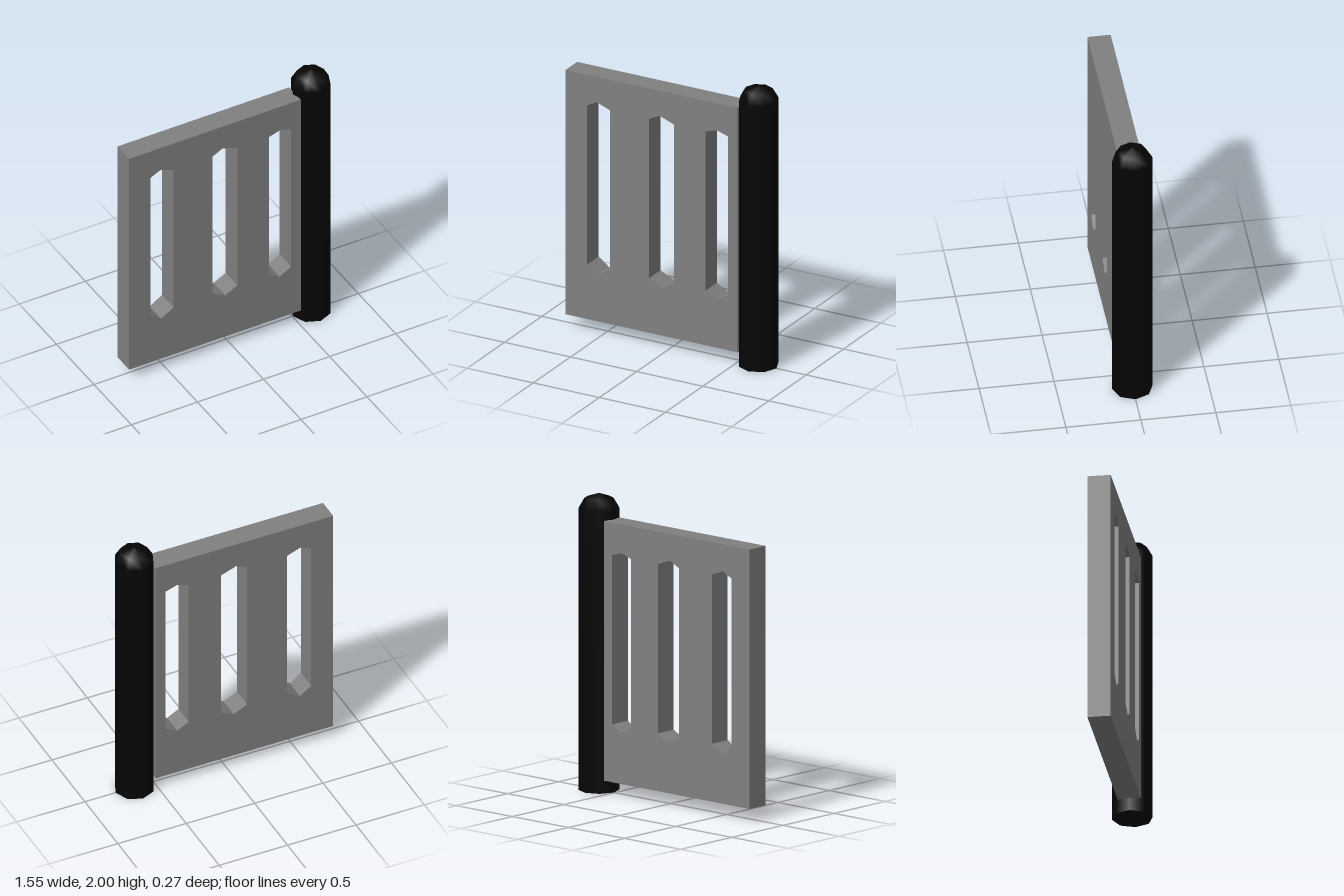
import * as THREE from 'three';

const POST_X = 0.64, POST_R = 0.135;

export function createModel() {
  const group = new THREE.Group();
  const grey = new THREE.MeshStandardMaterial({ color: 0x808080 });
  grey.name = 'grey panel';
  const black = new THREE.MeshStandardMaterial({ color: 0x050505 });
  black.name = 'black post';

  const add = (name, geometry, material, x, y, z) => {
    const mesh = new THREE.Mesh(geometry, material);
    mesh.name = name;
    mesh.position.set(x, y, z);
    group.add(mesh);
    return mesh;
  };

  // Panel with three upright slots, each pointed at both ends
  const panel = new THREE.Shape();
  panel.moveTo(-0.777, 0.09);
  panel.lineTo(0.522, 0.09);
  panel.lineTo(0.522, 1.84);
  panel.lineTo(-0.777, 1.84);
  panel.closePath();

  const slots = [
    { left: -0.615, right: -0.44, top: [-0.54, 1.657], bottom: [-0.535, 0.42] },
    { left: -0.147, right: 0.042, top: [-0.068, 1.66], bottom: [-0.05, 0.432] },
    { left: 0.28, right: 0.45, top: [0.367, 1.647], bottom: [0.362, 0.432] },
  ];
  for (const { left, right, top, bottom } of slots) {
    const hole = new THREE.Path();
    hole.moveTo(left, 0.48);
    hole.lineTo(left, 1.62);
    hole.lineTo(...top);
    hole.lineTo(right, 1.62);
    hole.lineTo(right, 0.48);
    hole.lineTo(...bottom);
    hole.closePath();
    panel.holes.push(hole);
  }
  add('slottedPanel',
    new THREE.ExtrudeGeometry(panel, { depth: 0.155, bevelEnabled: false }),
    grey, 0, 0, -0.08);

  // Eight-sided post with a domed top
  const profile = [[POST_R, 0], [POST_R, 1.9], [0.096, 1.968], [0, 2]]
    .map(([r, y]) => new THREE.Vector2(r, y));
  add('post', new THREE.LatheGeometry(profile, 8), black, POST_X, 0, 0);

  // Flat underside of the post
  const base = add('postBase', new THREE.CircleGeometry(POST_R, 8), black, POST_X, 0, 0);
  base.rotation.x = Math.PI / 2;

  return group;
}
